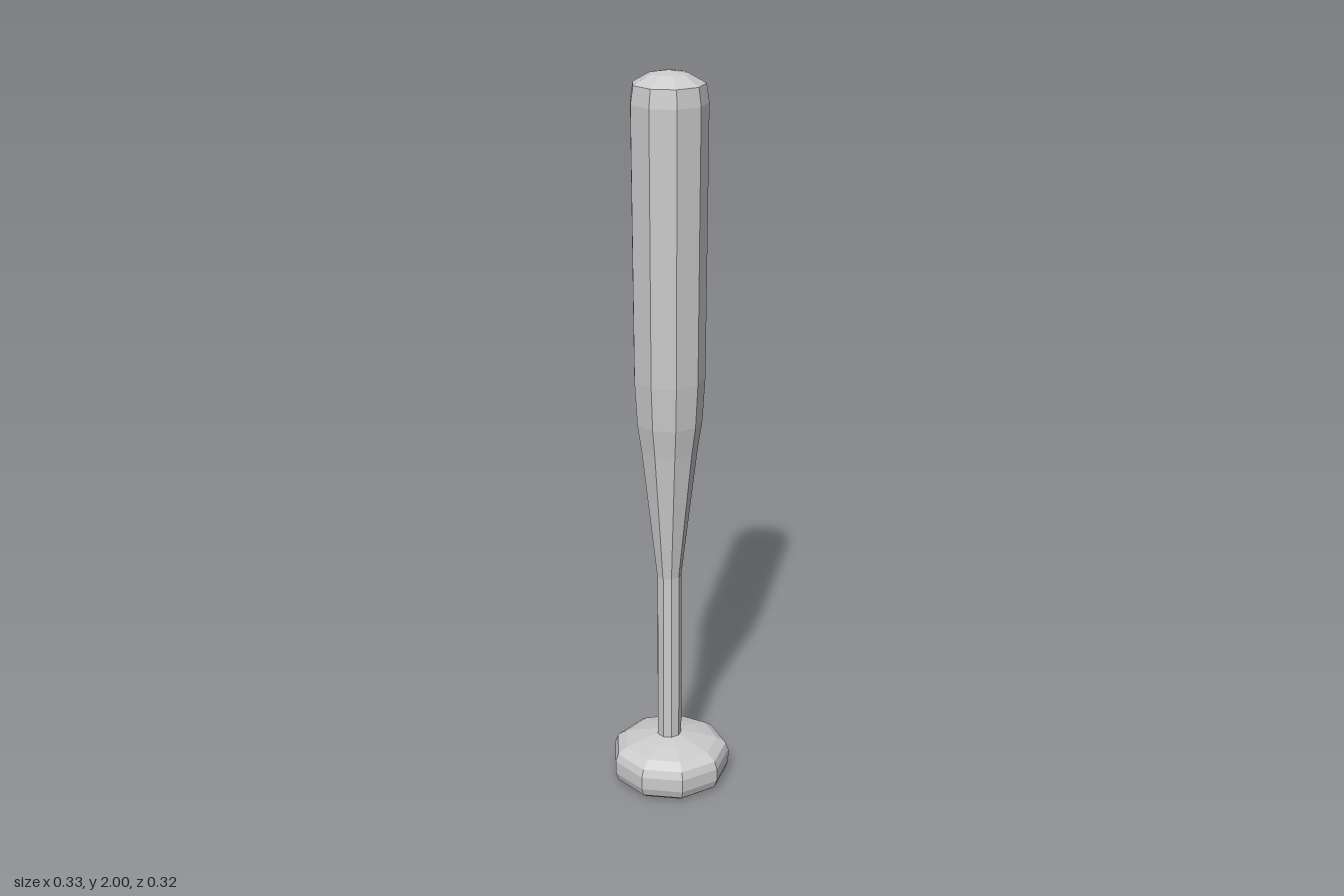
import * as THREE from 'three';

const SIDES = 9;
const material = new THREE.MeshStandardMaterial({ color: 0xcccccc, flatShading: true });

// Faceted turned part from [radius, height] pairs, listed bottom to top
function turned(name, profile, z) {
  const points = profile.map(([r, y]) => new THREE.Vector2(r, y));
  const geometry = new THREE.LatheGeometry(points, SIDES);
  geometry.rotateY(Math.PI); // one corner points to the back
  const mesh = new THREE.Mesh(geometry, material);
  mesh.name = name;
  mesh.position.z = z;
  return mesh;
}

export function createModel() {
  const group = new THREE.Group();
  group.name = 'bat';

  // Wide rounded knob with a flat base
  group.add(turned('knob', [
    [0, 0], [0.142, 0], [0.158, 0.012], [0.166, 0.035], [0.166, 0.072],
    [0.158, 0.094], [0.132, 0.112], [0.085, 0.125], [0.034, 0.136], [0, 0.136],
  ], 0.004));

  // Slim straight grip
  group.add(turned('handle', [[0.034, 0.12], [0.034, 0.63]], 0.008));

  // Taper, long barrel and low domed end
  group.add(turned('barrel', [
    [0.034, 0.63], [0.056, 0.82], [0.077, 1.0], [0.089, 1.08], [0.096, 1.2],
    [0.101, 1.92], [0.094, 1.967], [0.05, 1.992], [0, 2],
  ], 0.009));

  return group;
}
